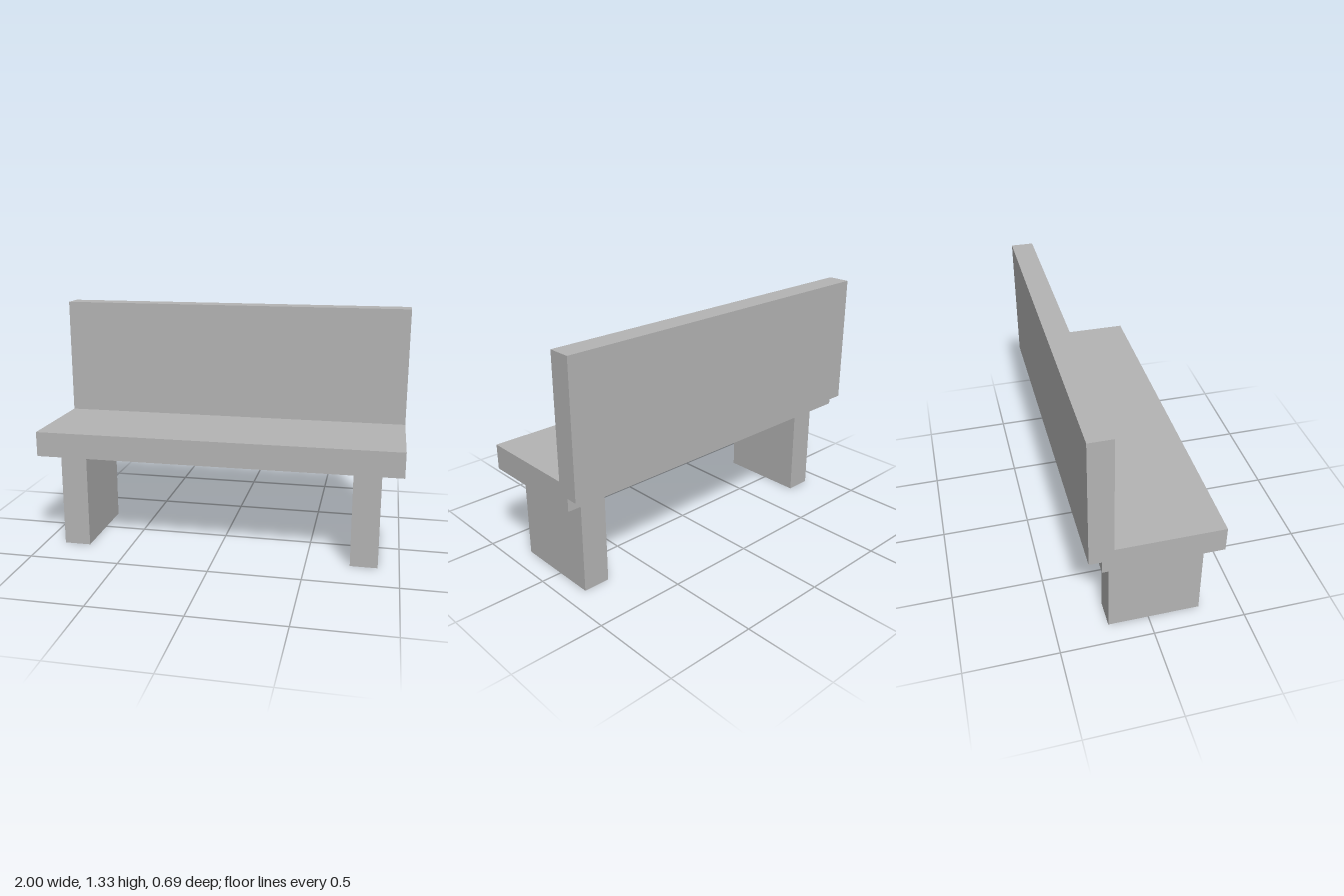
import * as THREE from 'three';

export function createModel() {
  const group = new THREE.Group();
  const grey = new THREE.MeshStandardMaterial({ color: 0xb4b4b4 });
  grey.name = 'grey';

  // Seat and backrest: one stepped side profile (z, y) extruded along x
  const profile = new THREE.Shape([
    [0.344, 0.533], [0.344, 0.671], [-0.22, 0.671], [-0.22, 1.327],
    [-0.344, 1.327], [-0.344, 0.603], [-0.28, 0.603], [-0.28, 0.533],
  ].map(([z, y]) => new THREE.Vector2(-z, y)));
  const bodyGeometry = new THREE.ExtrudeGeometry(profile, { depth: 2, bevelEnabled: false });
  bodyGeometry.translate(0, 0, -1).rotateY(Math.PI / 2);
  const body = new THREE.Mesh(bodyGeometry, grey);
  body.name = 'seatAndBackrest';
  group.add(body);

  // Two slab legs, mirrored in x
  const legGeometry = new THREE.BoxGeometry(0.148, 0.533, 0.501);
  for (const side of [1, -1]) {
    const leg = new THREE.Mesh(legGeometry, grey);
    leg.name = side > 0 ? 'leftLeg' : 'rightLeg';
    leg.position.set(side * 0.812, 0.2665, 0.031);
    group.add(leg);
  }
  return group;
}
